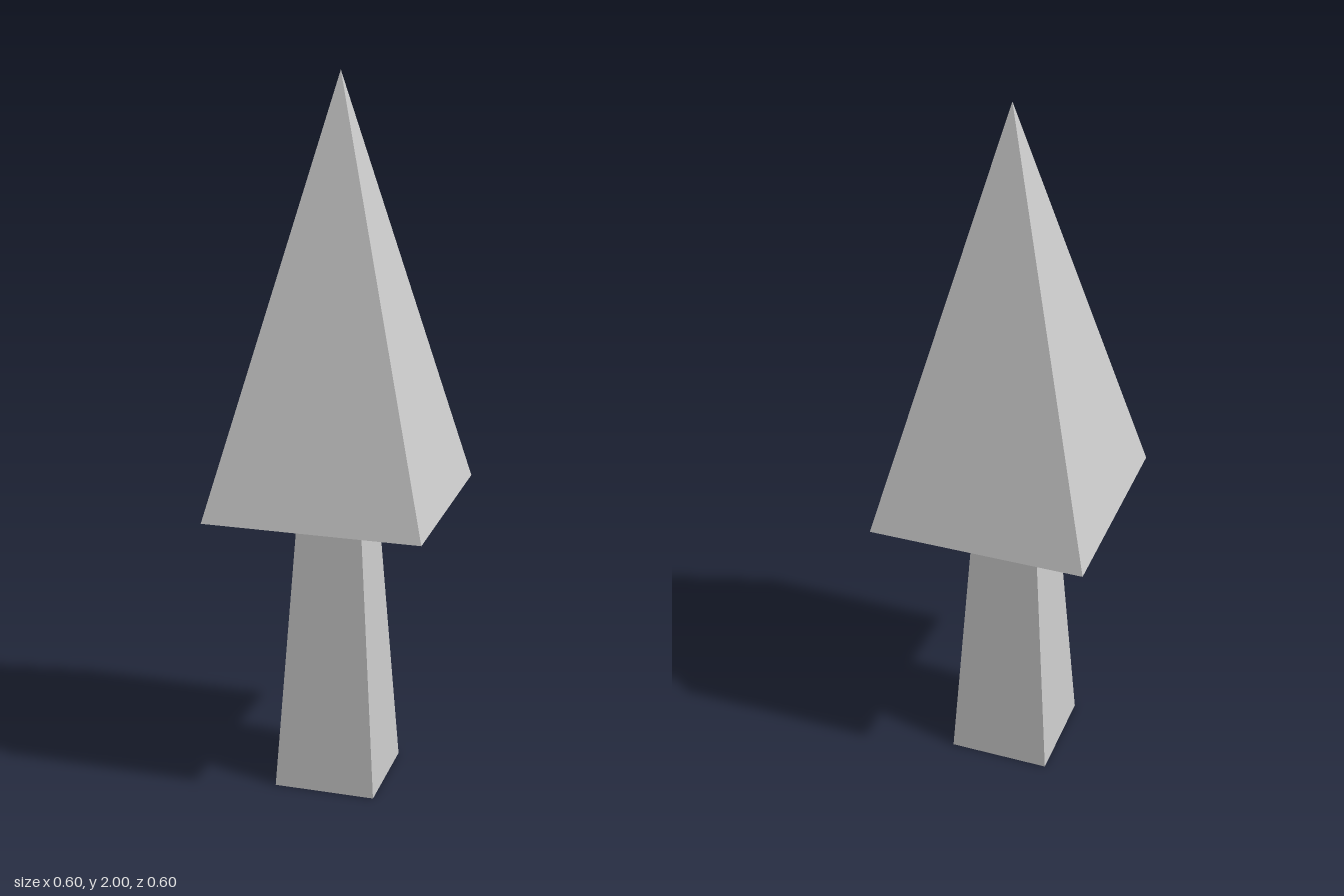
import * as THREE from 'three';

// Four-sided tapered block: half-widths at bottom and top, spanning y0..y1
function taperedBlock(name, material, halfBottom, halfTop, y0, y1) {
  const geometry = new THREE.CylinderGeometry(
    halfTop * Math.SQRT2, halfBottom * Math.SQRT2, y1 - y0, 4, 1, false, Math.PI / 4);
  geometry.translate(0, (y0 + y1) / 2, 0);
  const mesh = new THREE.Mesh(geometry, material);
  mesh.name = name;
  return mesh;
}

export function createModel() {
  const group = new THREE.Group();
  group.name = 'tree';

  const grey = new THREE.MeshStandardMaterial({ color: 0xcccccc, flatShading: true });
  grey.name = 'light grey';

  // Trunk, slightly off centre and narrowing upwards
  const trunk = taperedBlock('trunk', grey, 0.144, 0.088, 0, 0.84);
  trunk.position.set(-0.013, 0, -0.012);

  // Pyramid canopy with its tip leaning a little to the back
  const canopy = taperedBlock('canopy', grey, 0.301, 0, 0.837, 2);
  const points = canopy.geometry.attributes.position;
  for (let i = 0; i < points.count; i++) {
    if (points.getY(i) > 1.9) {
      points.setX(i, -0.007);
      points.setZ(i, -0.019);
    }
  }
  canopy.geometry.computeVertexNormals();

  group.add(trunk, canopy);
  return group;
}
